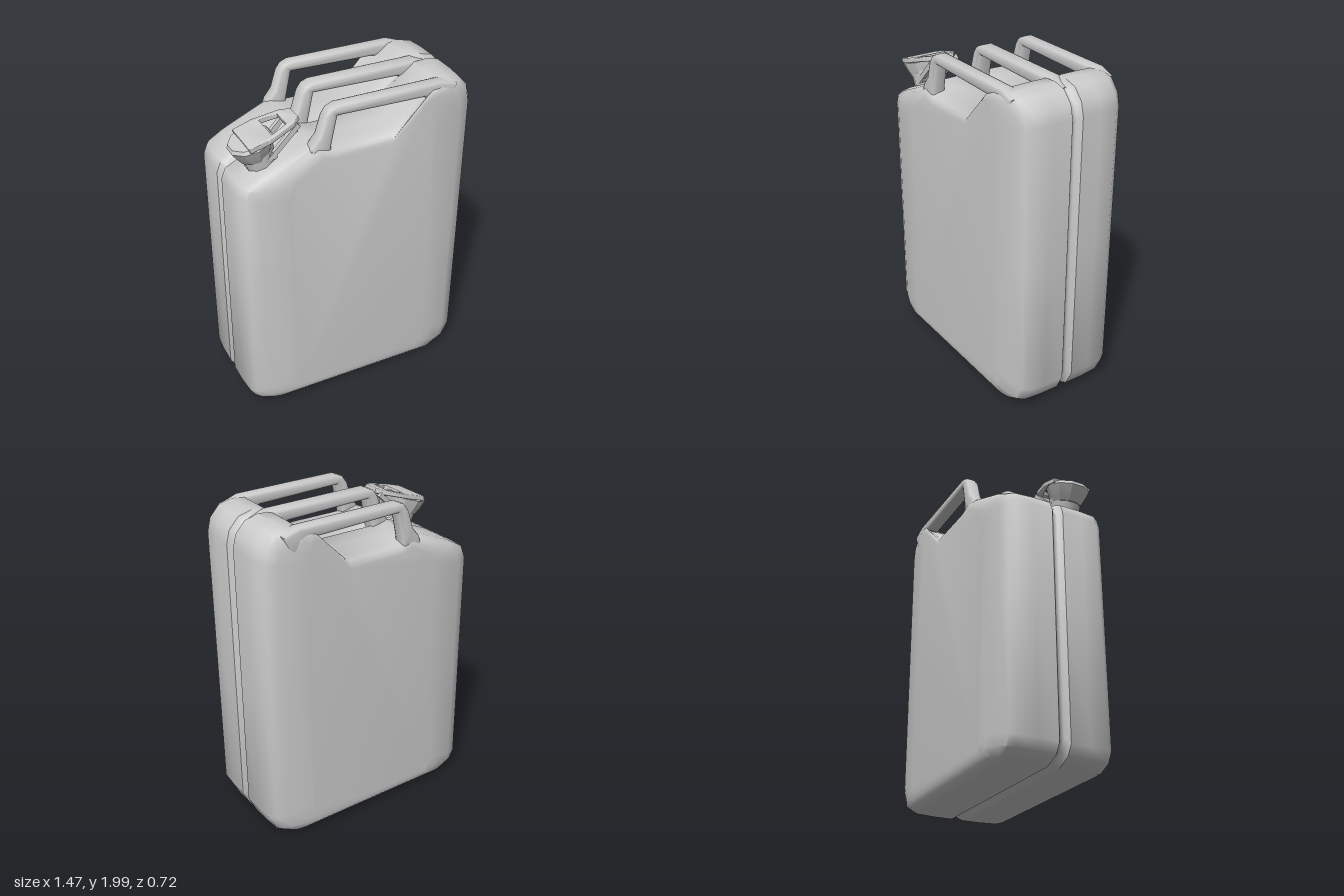
import * as THREE from 'three';
import { toCreasedNormals } from 'three/addons/utils/BufferGeometryUtils.js';

const material = new THREE.MeshStandardMaterial({ color: 0xcccccc });

function addPart(parent, name, geometry, crease = 0.85) {
  const mesh = new THREE.Mesh(toCreasedNormals(geometry, crease), material);
  mesh.name = name;
  parent.add(mesh);
  return mesh;
}

const toPoints = (list) => list.map(([x, y]) => new THREE.Vector2(x, y));

// Side outline of the tank, counter-clockwise, with the hand recess in its top
const outline = toPoints([
  [-0.735, 0.12], [-0.7, 0.06], [-0.61, 0.02], [0.57, 0.01], [0.67, 0.06], [0.72, 0.16],
  [0.725, 1.0], [0.73, 1.83], [0.71, 1.91], [0.65, 1.975], [0.57, 1.995], [0.49, 1.99],
  [0.4, 1.925], [0.2, 1.76], [-0.19, 1.76], [-0.29, 1.785], [-0.6, 1.655], [-0.7, 1.6],
  [-0.725, 1.54], [-0.73, 0.9],
]);

// Half of the depth profile: [z, inset of the ends, vertical shrink]
const halfProfile = [
  [0, 0.03, 0.03], [0.012, 0.028, 0.026], [0.035, 0, 0], [0.16, 0, 0], [0.27, 0.008, 0.004],
  [0.31, 0.035, 0.014], [0.335, 0.1, 0.03], [0.352, 0.22, 0.055], [0.358, 0.27, 0.09],
];

function tankGeometry() {
  const back = halfProfile.slice(1).reverse().map(([z, i, s]) => [-z, i, s]);
  const rings = [...back, ...halfProfile];
  const n = outline.length;
  const positions = [];
  const index = [];
  for (const [z, inset, shrink] of rings) {
    for (const p of outline) {
      const x = p.x * (1 - (inset / 0.73) * Math.abs(p.x / 0.73));
      positions.push(x, 1 + (p.y - 1) * (1 - shrink), z);
    }
  }
  for (let r = 0; r < rings.length - 1; r++) {
    for (let j = 0; j < n; j++) {
      const a = r * n + j;
      const b = r * n + ((j + 1) % n);
      index.push(a, b, b + n, a, b + n, a + n);
    }
  }
  // Large front and back panels
  const front = (rings.length - 1) * n;
  for (const [a, b, c] of THREE.ShapeUtils.triangulateShape(outline, [])) {
    index.push(front + a, front + b, front + c, a, c, b);
  }
  const geometry = new THREE.BufferGeometry();
  geometry.setAttribute('position', new THREE.Float32BufferAttribute(positions, 3));
  geometry.setIndex(index);
  return geometry;
}

// Bevelled plate centred on its own depth
function plate(shape, depth, bevel) {
  const geometry = new THREE.ExtrudeGeometry(shape, {
    depth: depth - 2 * bevel, bevelThickness: bevel, bevelSize: bevel,
    bevelOffset: -bevel, bevelSegments: 2,
  });
  return geometry.translate(0, 0, bevel - depth / 2);
}

function createSpout() {
  const spout = new THREE.Group();
  spout.name = 'spout';

  const neck = new THREE.CylinderGeometry(0.1, 0.085, 0.18, 10).translate(0, 0.03, 0);
  addPart(spout, 'neck', neck);

  // Flared cap with a slightly domed lid
  const cap = new THREE.LatheGeometry(toPoints([
    [0, 0.06], [0.09, 0.06], [0.115, 0.11], [0.132, 0.155], [0.12, 0.175], [0, 0.185],
  ]), 10);
  addPart(spout, 'cap', cap.translate(-0.015, 0, 0), 0.5);

  // Open locking lever over the cap
  const frame = new THREE.Shape(toPoints([
    [-0.06, -0.125], [0.06, -0.13], [0.22, -0.09], [0.27, -0.05],
    [0.27, 0.05], [0.22, 0.09], [0.06, 0.13], [-0.06, 0.125],
  ]));
  frame.holes.push(new THREE.Path(toPoints([
    [0.09, -0.09], [0.09, 0.09], [0.19, 0.06], [0.19, -0.06],
  ])));
  const lever = addPart(spout, 'lockingLever', plate(frame, 0.03, 0.006));
  lever.rotation.x = -Math.PI / 2;
  lever.position.y = 0.175;

  // Side links and the hinge joining lever and tank
  for (const side of [-1, 1]) {
    const link = addPart(spout, 'hingeLink', new THREE.BoxGeometry(0.25, 0.03, 0.025));
    link.position.set(0.14, 0.1, side * 0.075);
    link.rotation.z = 0.5;
  }
  const hinge = new THREE.CylinderGeometry(0.025, 0.025, 0.17, 8).rotateX(Math.PI / 2);
  addPart(spout, 'hingePin', hinge).position.set(0.06, 0.055, 0);
  const clasp = addPart(spout, 'clasp', new THREE.BoxGeometry(0.035, 0.09, 0.09));
  clasp.position.set(0.235, 0.14, 0);
  clasp.rotation.z = -0.25;

  spout.position.set(-0.535, 1.665, 0.16);
  spout.rotation.z = 0.28;
  return spout;
}

export function createModel() {
  const model = new THREE.Group();
  model.name = 'fuelCan';

  addPart(model, 'tank', tankGeometry());

  // Three parallel carrying handles
  const handleShape = new THREE.Shape(toPoints([
    [-0.33, 1.7], [-0.305, 1.775], [-0.26, 1.83], [-0.225, 1.94], [-0.195, 1.98], [-0.15, 1.998],
    [0.5, 1.995], [0.6, 1.96], [0.55, 1.85], [0.43, 1.87], [0.39, 1.92],
    [-0.15, 1.935], [-0.185, 1.77], [-0.19, 1.7],
  ]));
  for (const [name, z, depth] of [
    ['frontHandle', 0.295, 0.085], ['middleHandle', -0.01, 0.1], ['backHandle', -0.305, 0.085],
  ]) {
    addPart(model, name, plate(handleShape, depth, 0.02)).position.z = z;
  }

  model.add(createSpout());
  return model;
}
